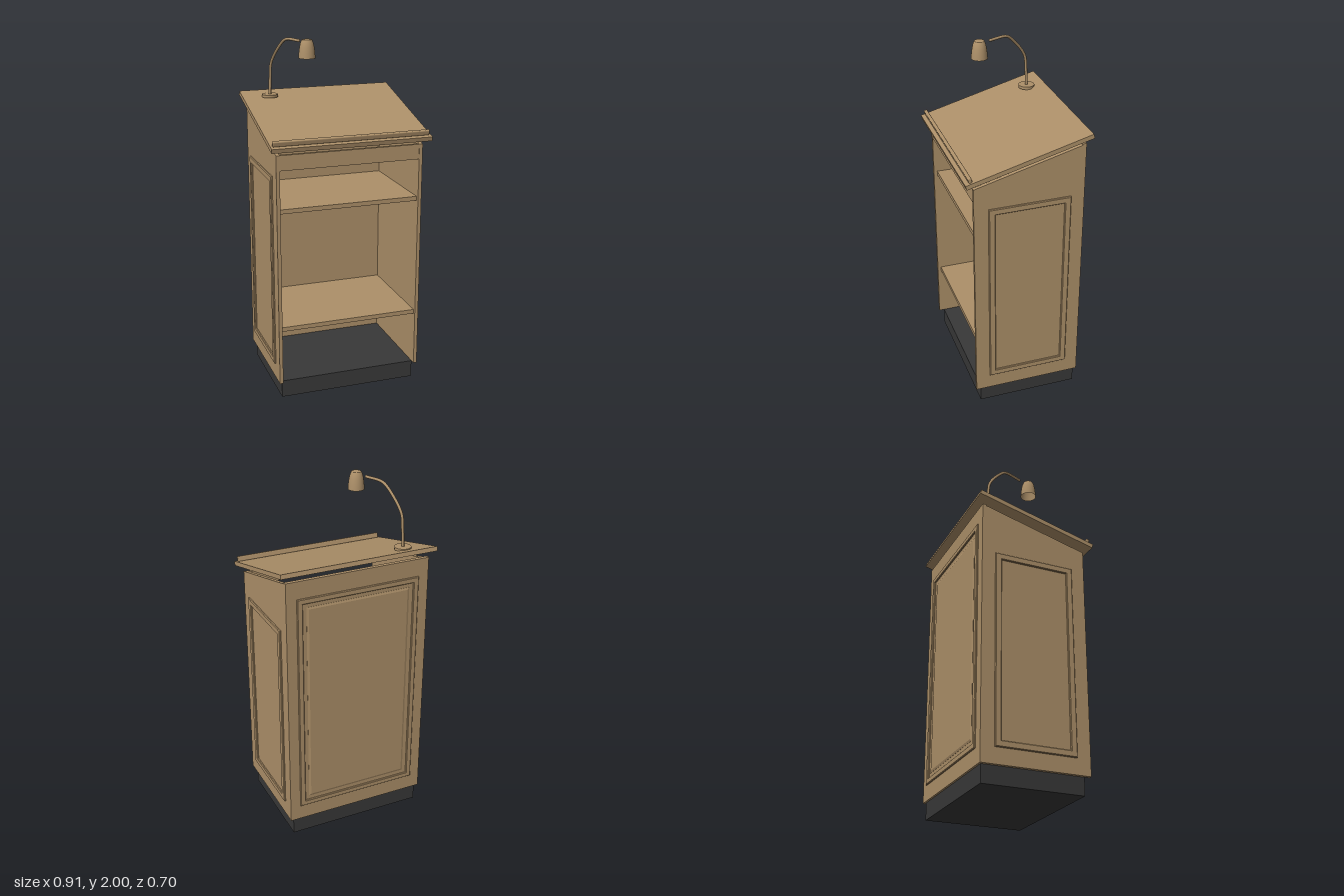
import * as THREE from 'three';
import { RoundedBoxGeometry } from 'three/addons/geometries/RoundedBoxGeometry.js';

export function createModel() {
  const root = new THREE.Group();
  root.name = 'lectern';

  const wood = new THREE.MeshStandardMaterial({ color: 0xad9069 });
  wood.name = 'wood';
  const plinthBlack = new THREE.MeshStandardMaterial({ color: 0x383838 });
  plinthBlack.name = 'plinthBlack';
  const shadeWood = new THREE.MeshStandardMaterial({ color: 0xad9069, side: THREE.DoubleSide });
  shadeWood.name = 'lampShade';

  function add(parent, name, geometry, material, x = 0, y = 0, z = 0) {
    const mesh = new THREE.Mesh(geometry, material);
    mesh.name = name;
    mesh.position.set(x, y, z);
    parent.add(mesh);
    return mesh;
  }
  const box = (w, h, d) => new THREE.BoxGeometry(w, h, d);

  function rect(Type, w, h) {
    return new Type([
      new THREE.Vector2(-w / 2, -h / 2), new THREE.Vector2(w / 2, -h / 2),
      new THREE.Vector2(w / 2, h / 2), new THREE.Vector2(-w / 2, h / 2),
    ]);
  }

  // Bevelled plate facing +z; with a border it becomes a picture-frame moulding
  function plate(w, h, rise, bevel, border = 0) {
    const shape = rect(THREE.Shape, w, h);
    if (border) shape.holes.push(rect(THREE.Path, w - 2 * border, h - 2 * border));
    const geo = new THREE.ExtrudeGeometry(shape, {
      depth: 0.006, bevelEnabled: true, bevelSegments: 1,
      bevelSize: bevel, bevelOffset: -bevel, bevelThickness: 0.004,
    });
    return geo.translate(0, 0, rise - 0.01);
  }

  // Plinth
  add(root, 'plinth', box(0.8, 0.1, 0.58), plinthBlack, 0, 0.05, -0.02);

  // Side walls with sloping tops, each with a moulded frame
  const profile = new THREE.Shape([
    new THREE.Vector2(-0.3, 0.1), new THREE.Vector2(0.3, 0.1),
    new THREE.Vector2(0.3, 1.43), new THREE.Vector2(-0.3, 1.592),
  ]);
  const wall = new THREE.ExtrudeGeometry(profile, { depth: 0.02, bevelEnabled: false });
  wall.rotateY(-Math.PI / 2).translate(0.01, 0, 0);
  for (const side of [1, -1]) {
    const label = side > 0 ? 'left' : 'right';
    add(root, label + 'Wall', wall, wood, side * 0.41);
    const frame = add(root, label + 'Moulding', plate(0.465, 1.11, 0.01, 0.004, 0.036),
      wood, side * 0.42, 0.745, -0.0125);
    frame.rotation.y = side * Math.PI / 2;
  }

  // Back wall with a frame and a raised field
  add(root, 'backWall', box(0.84, 1.5, 0.022), wood, 0, 0.85, -0.311);
  const back = new THREE.Group();
  back.name = 'backPanelling';
  back.position.set(0, 0.845, -0.322);
  back.rotation.y = Math.PI;
  root.add(back);
  add(back, 'backMoulding', plate(0.72, 1.31, 0.009, 0.004, 0.032), wood);
  add(back, 'backField', plate(0.61, 1.2, 0.005, 0.012), wood);

  // Shelves and front apron
  for (const y of [0.4225, 1.1125]) {
    add(root, 'shelf', box(0.8, 0.025, 0.58), wood, 0, y, -0.01);
  }
  add(root, 'apron', box(0.8, 0.085, 0.02), wood, 0, 1.3875, 0.288);

  // Sloping reading desk with a paper stop
  const desk = new THREE.Group();
  desk.name = 'readingDesk';
  desk.position.y = 1.56;
  desk.rotation.x = THREE.MathUtils.degToRad(15);
  root.add(desk);
  add(desk, 'deskBoard', box(0.91, 0.025, 0.72), wood);
  add(desk, 'paperStop', new RoundedBoxGeometry(0.89, 0.03, 0.02, 3, 0.006), wood, 0, 0.026, 0.327);

  // Reading lamp: foot, bent stem and bell shade
  const lamp = new THREE.Group();
  lamp.name = 'lamp';
  root.add(lamp);
  add(lamp, 'lampFoot', new THREE.CylinderGeometry(0.046, 0.046, 0.016, 32), wood, -0.3, 1.648, -0.245);
  const stemPath = new THREE.CatmullRomCurve3([
    [-0.3, 1.65, -0.245], [-0.298, 1.75, -0.24], [-0.293, 1.84, -0.228],
    [-0.256, 1.96, -0.135], [-0.24, 1.983, -0.1], [-0.2, 1.986, 0.005],
  ].map((p) => new THREE.Vector3(...p)));
  add(lamp, 'lampStem', new THREE.TubeGeometry(stemPath, 48, 0.008, 10), wood);
  add(lamp, 'lampStemEnd', new THREE.SphereGeometry(0.008, 10, 8), wood, -0.2, 1.986, 0.005);
  const bell = [
    [0.046, 0], [0.044, 0.03], [0.04, 0.06], [0.035, 0.082], [0.028, 0.098], [0.026, 0.1], [0, 0.1],
  ].map(([r, y]) => new THREE.Vector2(r, y));
  add(lamp, 'lampShade', new THREE.LatheGeometry(bell, 32), shadeWood, -0.175, 1.9, 0.075);

  return root;
}
